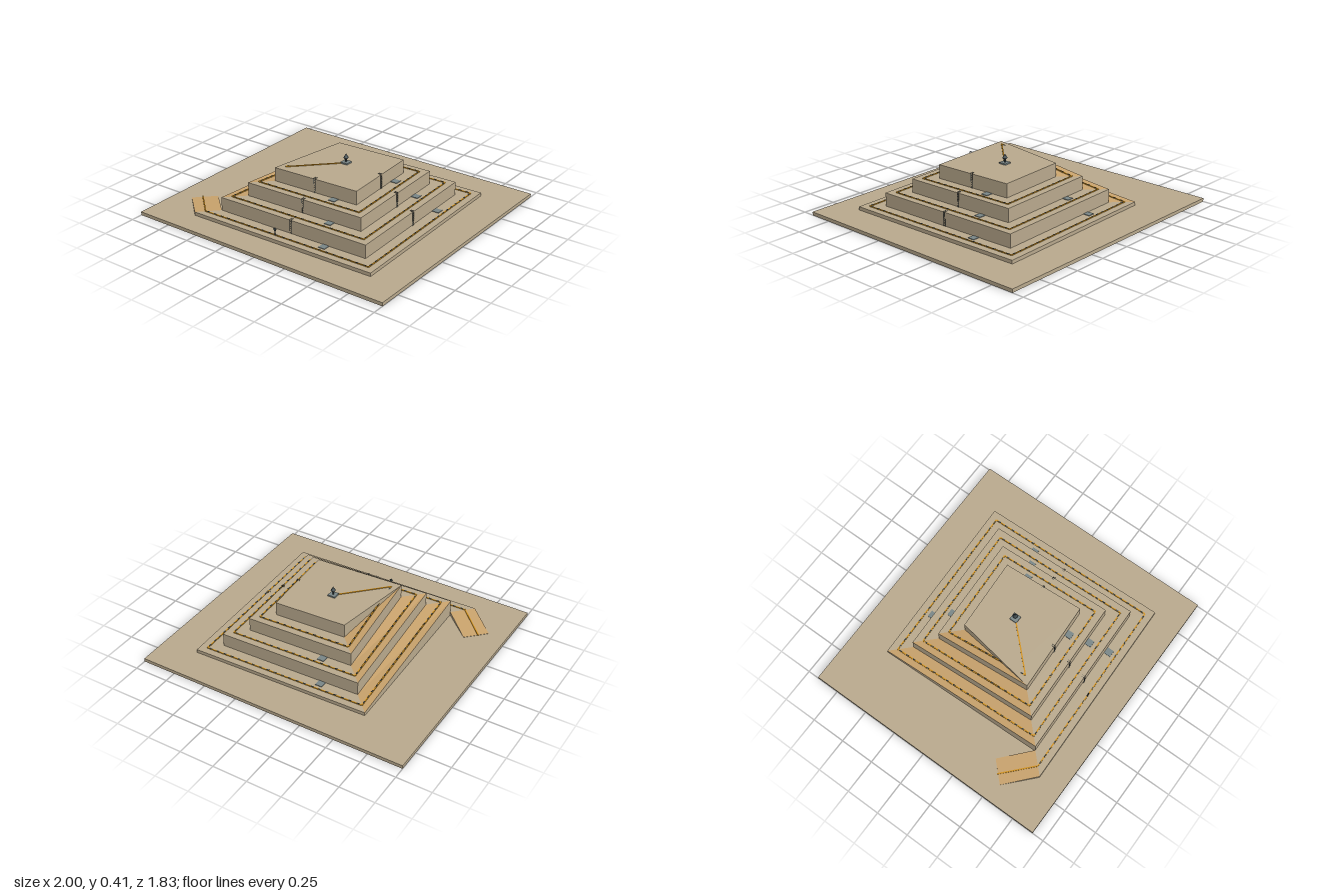
import * as THREE from 'three';

const mat = (name, color) => {
  const m = new THREE.MeshStandardMaterial({ color });
  m.name = name;
  return m;
};

export function createModel() {
  const earth = mat('earth', 0xb8a88c);
  const rampTan = mat('ramp tan', 0xc8a26c);
  const gold = mat('route gold', 0xd0921e);
  const slate = mat('dark slate', 0x3c484c);
  const stone = mat('blue grey stone', 0x788586);
  const model = new THREE.Group();

  const add = (name, geometry, material, x = 0, y = 0, z = 0, parent = model) => {
    const mesh = new THREE.Mesh(geometry, material);
    mesh.name = name;
    mesh.position.set(x, y, z);
    parent.add(mesh);
    return mesh;
  };

  // Vertical prism over an [x, z] outline, with its own top height at each corner
  const prism = (name, outline, tops, base, topMaterial) => {
    const pos = [];
    const n = outline.length;
    const pt = (i, y) => [outline[i][0], y, outline[i][1]];
    const flat = outline.map(([x, z]) => new THREE.Vector2(x, -z));
    for (const tri of THREE.ShapeUtils.triangulateShape(flat, [])) {
      const [a, b, c] = tri.map((i) => flat[i]);
      const up = (b.x - a.x) * (c.y - a.y) - (b.y - a.y) * (c.x - a.x) > 0;
      (up ? tri : [...tri].reverse()).forEach((i) => pos.push(...pt(i, tops[i])));
    }
    const topCount = pos.length / 3;
    const ccw = THREE.ShapeUtils.area(flat) > 0;
    for (let k = 0; k < n; k++) {
      const i = ccw ? k : (k + 1) % n;
      const j = ccw ? (k + 1) % n : k;
      pos.push(...pt(i, base), ...pt(j, base), ...pt(j, tops[j]));
      pos.push(...pt(i, base), ...pt(j, tops[j]), ...pt(i, tops[i]));
    }
    const g = new THREE.BufferGeometry();
    g.setAttribute('position', new THREE.Float32BufferAttribute(pos, 3));
    g.computeVertexNormals();
    g.addGroup(0, topCount, 0);
    g.addGroup(topCount, pos.length / 3 - topCount, 1);
    return add(name, g, [topMaterial, earth]);
  };

  // Straight bar between two points
  const bar = (name, a, b, w, h, material, parent) => {
    const mid = a.clone().lerp(b, 0.5);
    const mesh = add(name, new THREE.BoxGeometry(w, h, a.distanceTo(b)), material, mid.x, mid.y, mid.z, parent);
    mesh.lookAt(b);
    return mesh;
  };

  // Corners of level k of the square spiral
  const FL = (k) => [-0.67 + 0.13 * k, 0.735 - 0.13 * k];
  const FR = (k) => [0.765 - 0.13 * k, 0.705 - 0.13 * k];
  const BR = (k) => [0.735 - 0.13 * k, -0.675 + 0.133 * k];
  const BL = (k) => [-0.57 + 0.13 * k, -0.64 + 0.13 * k];
  const Y = [0.05, 0.147, 0.245, 0.344];
  const GROUND = 0.025;

  add('groundSlab', new THREE.BoxGeometry(2, GROUND, 1.83), earth, 0, GROUND / 2, 0);

  // Terraces, and the ramps that climb the left side
  for (let k = 0; k < 4; k++) {
    prism('terrace', [FL(k), FR(k), BR(k), BL(k), FL(k + 1)], Array(5).fill(Y[k]), k ? Y[k - 1] : GROUND, earth);
    if (k < 3) {
      prism('ramp', [FL(k + 1), FL(k + 2), BL(k + 1), BL(k)], [Y[k + 1], Y[k + 1], Y[k], Y[k]], Y[k], rampTan);
    }
  }
  // The plateau is closed on its left by the last corner
  prism('plateauEdge', [FL(3), FL(4), BL(3)], Array(3).fill(Y[3]), Y[2], earth);
  prism('entryRamp', [FL(0), FL(1), [-0.74, 0.42], [-0.87, 0.55]],
    [Y[0], Y[0], GROUND + 0.002, GROUND + 0.002], GROUND, rampTan);

  // Route line spiralling from the entry up to the summit
  const route = new THREE.Group();
  route.name = 'route';
  model.add(route);
  const on = (corner, k) => {
    const [a, b] = [corner(k), corner(k + 1)];
    return new THREE.Vector3(a[0] + (b[0] - a[0]) * 0.4, Y[k] + 0.002, a[1] + (b[1] - a[1]) * 0.4);
  };
  const stops = [new THREE.Vector3(-0.82, GROUND + 0.004, 0.49)];
  for (let k = 0; k < 3; k++) stops.push(...[FL, FR, BR, BL].map((c) => on(c, k)));
  stops.push(on(FL, 3), new THREE.Vector3(0.06, Y[3] + 0.002, 0));
  for (let i = 0; i + 1 < stops.length; i++) {
    const [a, b] = [stops[i], stops[i + 1]];
    bar('routeLine', a, b, 0.009, 0.005, gold, route);
    if (i === 0 || i === stops.length - 2) continue;
    const steps = Math.round(a.distanceTo(b) / 0.057);
    for (let s = 0; s < steps; s++) {
      const p = a.clone().lerp(b, (s + 0.3) / steps);
      const q = a.clone().lerp(b, (s + 0.65) / steps);
      bar('routeDash', p, q, 0.007, 0.008, slate, route);
    }
  }

  // Ladders hooked over the front and right-hand walls
  const ladder = (x, z, turn, k) => {
    const g = new THREE.Group();
    g.name = 'ladder';
    g.position.set(x, Y[k - 1], z);
    g.rotation.y = turn;
    model.add(g);
    const h = Y[k] - Y[k - 1];
    for (const s of [-0.006, 0.006]) {
      add('ladderRail', new THREE.BoxGeometry(0.002, h + 0.008, 0.002), slate, s, h / 2 + 0.004, 0.006, g);
      add('ladderHook', new THREE.BoxGeometry(0.002, 0.002, 0.025), slate, s, h + 0.008, -0.005, g);
    }
    for (let i = 0; i < 6; i++) {
      add('ladderRung', new THREE.BoxGeometry(0.012, 0.002, 0.002), slate, 0, (h * (i + 0.5)) / 6, 0.006, g);
    }
  };
  for (let k = 1; k < 4; k++) {
    const [fl, fr, br] = [FL(k), FR(k), BR(k)];
    const t = (0.05 - fl[0]) / (fr[0] - fl[0]);
    ladder(0.05, fl[1] + (fr[1] - fl[1]) * t, 0, k);
    const u = (0.02 - br[1]) / (fr[1] - br[1]);
    ladder(br[0] + (fr[0] - br[0]) * u, 0.02, Math.PI / 2, k);
  }

  // Square stone pads on the terraces: x, z, level
  const pads = [
    [-0.175, -0.545, 0], [-0.11, -0.415, 1],
    [0.64, -0.255, 0], [0.51, -0.19, 1], [0.38, -0.13, 2],
    [0.33, 0.61, 0], [0.275, 0.475, 1], [0.21, 0.345, 2],
  ];
  for (const [x, z, k] of pads) {
    add('stonePad', new THREE.BoxGeometry(0.05, 0.004, 0.05), stone, x, Y[k] + 0.002, z);
  }

  // Summit marker: plinth, post and pointed finial
  add('summitPlinth', new THREE.BoxGeometry(0.055, 0.01, 0.055), stone, 0.06, Y[3] + 0.005, 0);
  add('summitPost', new THREE.CylinderGeometry(0.006, 0.006, 0.02, 8), slate, 0.06, 0.362, 0);
  add('finialBase', new THREE.ConeGeometry(0.018, 0.02, 8).rotateX(Math.PI), slate, 0.06, 0.375, 0);
  add('finialTip', new THREE.ConeGeometry(0.018, 0.03, 8), slate, 0.06, 0.4, 0);

  // Flat signpost by the front path
  const sign = new THREE.Shape([[0, 0.03], [0.013, 0.05], [0, 0.062], [-0.013, 0.05]]
    .map(([x, y]) => new THREE.Vector2(x, y)));
  add('signPlate', new THREE.ExtrudeGeometry(sign, { depth: 0.005, bevelEnabled: false }), slate, -0.02, Y[0] - 0.004, 0.67);
  add('signPost', new THREE.BoxGeometry(0.007, 0.04, 0.004), slate, -0.02, Y[0] + 0.02, 0.6725);

  return model;
}
